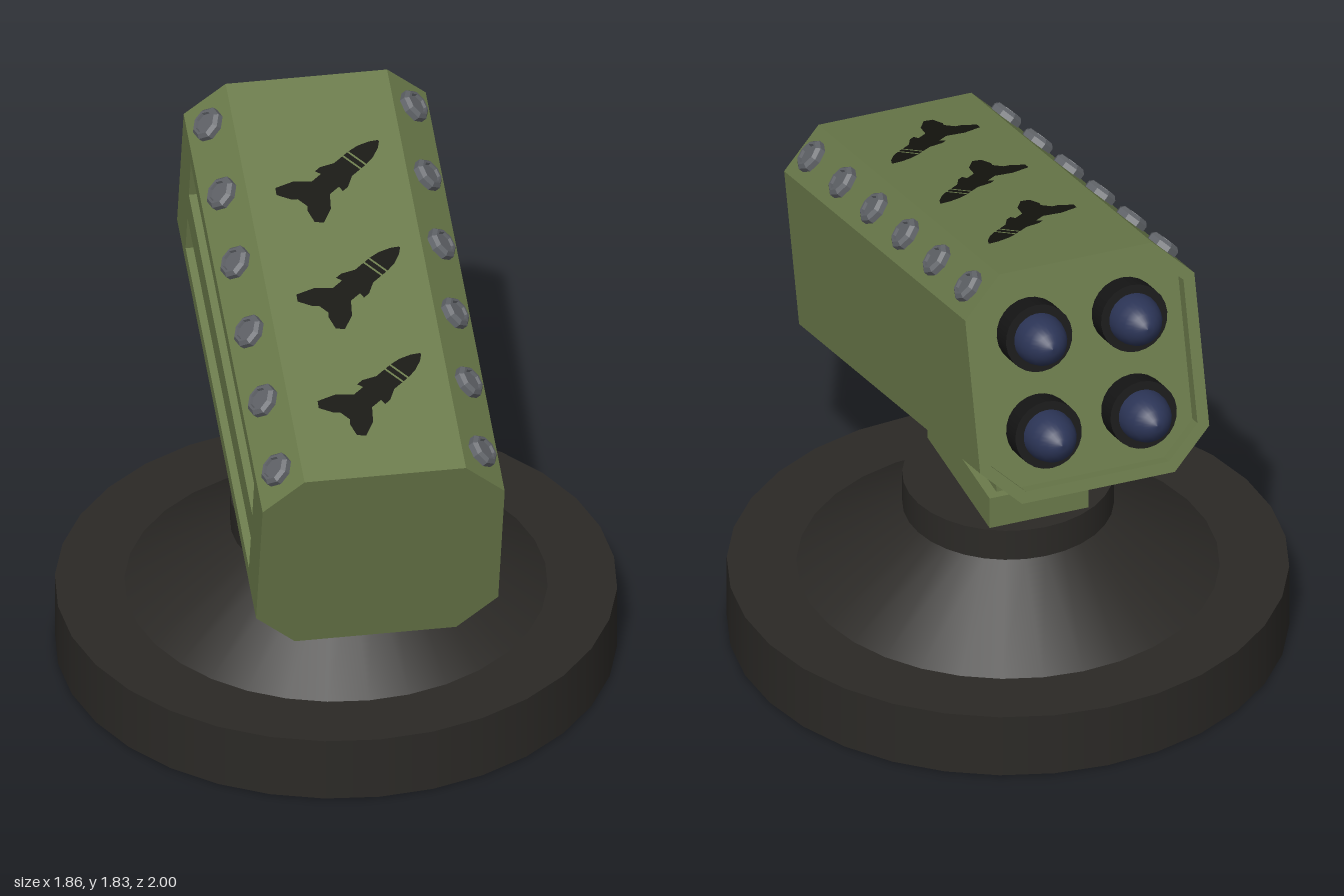
import * as THREE from 'three';

const mat = (color, extra = {}) => Object.assign(new THREE.MeshStandardMaterial({ color }), extra);
const green = mat(0x6b7b4b);
const black = mat(0x2b2926);
const collarBlack = mat(0x161616);
const decalBlack = mat(0x14140f, { side: THREE.DoubleSide });
const blue = mat(0x2c3557);
const steel = mat(0x606368, { flatShading: true });

function add(parent, name, geometry, material, x = 0, y = 0, z = 0) {
  const mesh = new THREE.Mesh(geometry, material);
  mesh.name = name;
  mesh.position.set(x, y, z);
  parent.add(mesh);
  return mesh;
}

const points = (list) => list.map(([x, y]) => new THREE.Vector2(x, y));

// Octagon of half width w and half height h with 45 degree corners of size c
const octagon = (w, h, c) => points([
  [w, c - h], [w, h - c], [w - c, h], [c - w, h],
  [-w, h - c], [-w, c - h], [c - w, -h], [w - c, -h],
]);

const extrude = (shape, depth) =>
  new THREE.ExtrudeGeometry(shape, { depth, bevelEnabled: false });

const W = 0.405, H = 0.404, C = 0.135; // launcher cross-section
const L = 0.872;                       // half length
const D = 0.04;                        // side recess depth and rim width
const RIM = 0.05;                      // muzzle recess depth

// Side wall with two long windows and chamfered long edges; s is the side
function sidePlate(s) {
  const low = H - C + D, top = H - C;
  const rect = (z0, z1, y0, y1) =>
    points([[-s * z0, y0], [-s * z1, y0], [-s * z1, y1], [-s * z0, y1]]);
  const shape = new THREE.Shape(rect(RIM - L, L, -low, low));
  for (const [y0, y1] of [[0.058, 0.214], [-0.214, -0.058]]) {
    shape.holes.push(new THREE.Path(rect(-0.7, 0.7, y0, y1)));
  }
  const geo = extrude(shape, D);
  const p = geo.attributes.position;
  for (let i = 0; i < p.count; i++) {
    if (p.getZ(i) > D / 2 && Math.abs(p.getY(i)) > 0.25) p.setY(i, Math.sign(p.getY(i)) * top);
  }
  geo.computeVertexNormals();
  geo.rotateY(s * Math.PI / 2);
  return geo;
}

// Rocket silhouette pointing along +x, tail at the origin
function rocketDecal() {
  const half = [
    [0.015, 0.022], [0.0, 0.035], [-0.02, 0.085], [0.0, 0.108], [0.06, 0.085], [0.105, 0.04],
    [0.15, 0.04], [0.145, 0.062], [0.17, 0.062], [0.215, 0.04], [0.255, 0.04],
  ];
  const mirrored = (list) =>
    new THREE.Shape(points([...list, ...list.slice().reverse().map(([x, y]) => [x, -y])]));
  const body = mirrored(half);
  const band = mirrored([[0.262, 0.04], [0.28, 0.04]]);
  const nose = mirrored([[0.287, 0.04], [0.325, 0.035], [0.365, 0.02], [0.39, 0.003]]);
  const geo = new THREE.ShapeGeometry([body, band, nose]);
  geo.rotateZ(0.69);
  geo.rotateX(-Math.PI / 2);
  return geo;
}

function createLauncher() {
  const launcher = new THREE.Group();
  launcher.name = 'launcher';

  // Box: core, side walls and muzzle rim
  const core = new THREE.Shape(octagon(W - D, H, C - D));
  add(launcher, 'launcherCore', extrude(core, 2 * L - RIM), green, 0, 0, RIM - L);
  for (const s of [1, -1]) {
    add(launcher, s > 0 ? 'leftWall' : 'rightWall', sidePlate(s), green, s * (W - D), 0, 0);
  }
  const rim = new THREE.Shape(octagon(W, H, C));
  rim.holes.push(new THREE.Path(octagon(W - D, H - D, C - 0.586 * D)));
  add(launcher, 'muzzleRim', extrude(rim, RIM), green, 0, 0, -L);

  // Four rockets in collars
  const collarGeo = new THREE.CylinderGeometry(0.117, 0.117, 0.09, 24).rotateX(Math.PI / 2);
  const noseGeo = new THREE.LatheGeometry(points([
    [0.088, 0], [0.087, 0.025], [0.08, 0.06], [0.066, 0.092],
    [0.045, 0.118], [0.022, 0.134], [0, 0.14],
  ]), 24).rotateX(-Math.PI / 2);
  for (const x of [-0.168, 0.168]) {
    for (const y of [-0.17, 0.17]) {
      add(launcher, 'rocketCollar', collarGeo, collarBlack, x, y, -0.867);
      add(launcher, 'rocketNose', noseGeo, blue, x, y, -0.905);
    }
  }

  // Bolts along both upper chamfers
  const boltGeo = new THREE.LatheGeometry(points([
    [0.058, 0], [0.058, 0.02], [0.046, 0.032], [0.037, 0.032], [0.035, 0.022], [0, 0.022],
  ]), 8);
  for (const s of [1, -1]) {
    for (let i = 0; i < 6; i++) {
      const bolt = add(launcher, 'bolt', boltGeo, steel,
        s * (W - C / 2), H - C / 2, -0.755 + i * 0.302);
      bolt.rotation.z = -s * Math.PI / 4;
    }
  }

  // Painted rocket marks on the roof
  const decalGeo = rocketDecal();
  for (let i = 0; i < 3; i++) {
    add(launcher, 'roofMark', decalGeo, decalBlack, -0.106, H + 0.002, -0.32 + i * 0.466);
  }

  launcher.position.set(0, 1.21, 0.055);
  launcher.rotation.x = Math.PI / 12;
  return launcher;
}

export function createModel() {
  const model = new THREE.Group();
  model.name = 'rocketTurret';
  const z = -0.05;

  // Round stand
  const drum = (r1, r0, y0, y1) => new THREE.CylinderGeometry(r1, r0, y1 - y0, 32).translate(0, (y0 + y1) / 2, 0);
  add(model, 'baseDisc', drum(0.93, 0.93, 0, 0.23), black, 0, 0, z);
  add(model, 'baseCone', drum(0.35, 0.7, 0.23, 0.47), black, 0, 0, z);
  add(model, 'baseNeck', drum(0.35, 0.35, 0.47, 0.585), black, 0, 0, z);

  // Pivot block with rounded knuckle
  add(model, 'pivotBlock', new THREE.BoxGeometry(0.35, 0.12, 0.58), green, 0, 0.642, z);
  const knuckle = new THREE.Shape();
  knuckle.absarc(0, 0, 0.26, 0, Math.PI);
  const knuckleGeo = new THREE.ExtrudeGeometry(knuckle, { depth: 0.28, bevelEnabled: false, curveSegments: 16 });
  knuckleGeo.translate(0, 0, -0.14).rotateY(Math.PI / 2);
  add(model, 'pivotKnuckle', knuckleGeo, green, 0, 0.7, z);

  model.add(createLauncher());
  return model;
}
